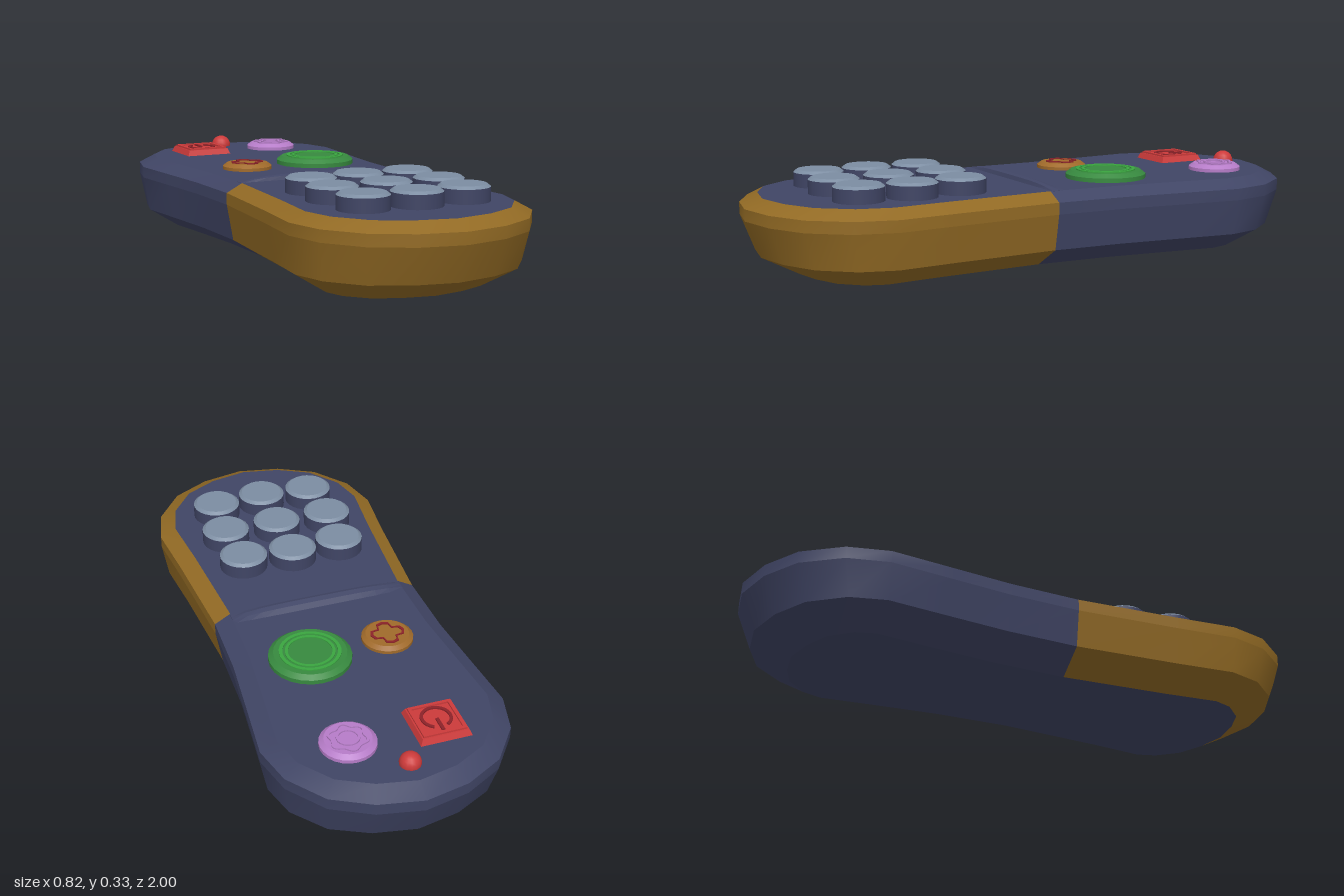
import * as THREE from 'three';

const mat = (name, color, side = THREE.FrontSide) => {
  const m = new THREE.MeshStandardMaterial({ color, side });
  m.name = name;
  return m;
};
const navy = mat('navy', 0x404565);
const gold = mat('gold', 0x926a24);
const grey = mat('blueGrey', 0x7c8da2);
const red = mat('red', 0xcc3a3a);
const darkRed = mat('darkRed', 0x8c2228);
const green = mat('green', 0x37893f);
const brightGreen = mat('brightGreen', 0x3aa540);
const purple = mat('purple', 0xb67cc8);
const orange = mat('orange', 0xa06a2a);

const TOP = 0.27;

// Half outline of the case, back to front, as [x, z]
const backHalf = [[0, -1], [0.15, -0.97], [0.28, -0.9], [0.375, -0.775], [0.41, -0.635], [0.39, -0.42], [0.37, -0.2]];
const half = [...backHalf, [0.364, 0.05], ...backHalf.slice(0, 6).reverse().map(([x, z]) => [x, -z])];
const outline = [...half, ...half.slice(1, -1).reverse().map(([x, z]) => [-x, z])];
const N = outline.length;
const SPLIT = 7; // index of the point where the two case colours meet

// Case outline moved inwards by dx, dz and raised to y
function ring(y, dx, dz) {
  return outline.map(([x, z], i) => {
    const a = outline[(i + N - 1) % N], b = outline[(i + 1) % N];
    const n = new THREE.Vector2(b[1] - a[1], a[0] - b[0]).normalize();
    return [x - n.x * dx, y, z - n.y * dz];
  });
}

function surface(points, index) {
  const g = new THREE.BufferGeometry();
  g.setAttribute('position', new THREE.Float32BufferAttribute(points.flat(), 3));
  g.setIndex(index);
  g.computeVertexNormals();
  return g;
}

// Wall between two rings, from outline point start to point end
function band(low, high, start, end) {
  const points = [], index = [];
  for (let i = start; i <= end; i++) {
    points.push(low[i % N], high[i % N]);
    if (i < end) {
      const a = (i - start) * 2;
      index.push(a + 2, a, a + 1, a + 2, a + 1, a + 3);
    }
  }
  return surface(points, index);
}

function cap(loop, y, up) {
  const index = [];
  for (let i = 0; i < N; i++) {
    const j = (i + 1) % N;
    index.push(N, up ? j : i, up ? i : j);
  }
  return surface([...loop, [0, y, 0]], index);
}

function add(parent, name, geometry, material, x = 0, y = 0, z = 0) {
  const m = new THREE.Mesh(geometry, material);
  m.name = name;
  m.position.set(x, y, z);
  parent.add(m);
  return m;
}

// Shape lying flat, with its up direction towards the back
const plate = (shape, depth) =>
  new THREE.ExtrudeGeometry(shape, { depth, bevelEnabled: false, curveSegments: 24 }).rotateX(-Math.PI / 2);

// Closed outline whose radius depends on the angle
function radial(radius, steps, Type = THREE.Shape) {
  const pts = [];
  for (let i = 0; i < steps; i++) {
    const a = (i / steps) * Math.PI * 2;
    pts.push(new THREE.Vector2(Math.cos(a), Math.sin(a)).multiplyScalar(radius(a, i)));
  }
  return new Type(pts);
}

function ringPlate(outer, inner, steps, depth) {
  const s = radial(outer, steps);
  s.holes.push(radial(inner, steps, THREE.Path));
  return plate(s, depth);
}

// Round button: straight side, then a bevelled top
function roundButton(parent, name, x, z, r, height, bevel, sideMat, topMat) {
  const g = new THREE.Group();
  g.name = name;
  g.position.set(x, TOP, z);
  const h = height - bevel;
  add(g, name + 'Side', new THREE.CylinderGeometry(r, r, h, 24, 1, true), sideMat, 0, h / 2);
  add(g, name + 'Bevel', new THREE.CylinderGeometry(r - bevel * 1.3, r, bevel, 24, 1, true), topMat, 0, h + bevel / 2);
  add(g, name + 'Face', new THREE.CircleGeometry(r - bevel * 1.3, 24).rotateX(-Math.PI / 2), topMat, 0, height);
  parent.add(g);
  return g;
}

export function createModel() {
  const model = new THREE.Group();
  model.name = 'remoteControl';

  // Case: stacked bands, navy at the back and gold at the front
  const rings = [ring(0.01, 0.13, 0.18), ring(0.077, 0.022, 0.05), ring(0.2, 0, 0), ring(0.24, 0, 0), ring(TOP, 0.056, 0.06)];
  for (let i = 0; i < rings.length - 1; i++) {
    add(model, 'frontCase', band(rings[i], rings[i + 1], SPLIT, N - SPLIT), gold);
    add(model, 'backCase', band(rings[i], rings[i + 1], N - SPLIT, N + SPLIT), navy);
  }
  add(model, 'topPanel', cap(rings[4], TOP, true), navy);
  add(model, 'bottomPanel', cap(rings[0], 0, false), navy);

  // Ridge across the waist, fading out at both ends
  const profile = [[-0.05, -0.002], [-0.044, 0.014], [-0.03, 0.018], [-0.012, 0.012], [0.01, -0.002]];
  const ridge = new THREE.ExtrudeGeometry(new THREE.Shape(profile.map((p) => new THREE.Vector2(...p))),
    { depth: 0.62, steps: 12, bevelEnabled: false });
  ridge.rotateY(Math.PI / 2).translate(-0.31, 0, 0);
  const rp = ridge.attributes.position;
  for (let i = 0; i < rp.count; i++) {
    const k = 1 - (rp.getX(i) / 0.31) ** 4;
    if (rp.getY(i) > 0) rp.setY(i, rp.getY(i) * k);
  }
  ridge.computeVertexNormals();
  add(model, 'ridge', ridge, navy, 0, TOP, 0);

  // Keypad
  const rows = [[0.32, 0.18, -0.012], [0.5, 0.195, 0], [0.68, 0.18, 0.015]];
  for (const [z, dx, shift] of rows)
    for (const s of [-1, 0, 1])
      roundButton(model, 'key', s * dx, z + (s ? 0 : shift), 0.085, 0.056, 0.009, navy, grey);

  // Power button: bevelled square with a frame and a broken ring
  const power = new THREE.Group();
  power.name = 'powerButton';
  power.position.set(-0.145, TOP, -0.715);
  const squareBase = new THREE.CylinderGeometry(0.11, 0.122, 0.02, 4).rotateY(Math.PI / 4).toNonIndexed();
  squareBase.computeVertexNormals();
  add(power, 'powerBase', squareBase, red, 0, 0.01);
  const square = (r, Type) => new Type([[r, r], [-r, r], [-r, -r], [r, -r]].map((p) => new THREE.Vector2(...p)));
  const frame = square(0.073, THREE.Shape);
  frame.holes.push(square(0.062, THREE.Path));
  add(power, 'powerFrame', plate(frame, 0.006), red, 0, 0.02);
  const arc = new THREE.Shape();
  const gap = 0.5;
  arc.absarc(0, 0, 0.052, Math.PI / 2 + gap, Math.PI * 2.5 - gap, false);
  arc.absarc(0, 0, 0.042, Math.PI * 2.5 - gap, Math.PI / 2 + gap, true);
  add(power, 'powerArc', plate(arc, 0.005), darkRed, 0, 0.02, 0.006);
  add(power, 'powerBar', new THREE.BoxGeometry(0.011, 0.005, 0.055), darkRed, 0, 0.0225, -0.028);
  model.add(power);

  // Settings button with a six-lobed ring
  const settings = roundButton(model, 'settingsButton', 0.15, -0.715, 0.092, 0.024, 0.012, purple, purple);
  const lobes = (r) => (a) => r + 0.006 * Math.cos(6 * a + Math.PI);
  add(settings, 'settingsLobes', ringPlate(lobes(0.062), lobes(0.053), 48, 0.005), purple, 0, 0.024);
  add(settings, 'settingsRing', ringPlate(() => 0.038, () => 0.03, 24, 0.005), purple, 0, 0.024);

  // Large round button with raised bright rings
  const big = roundButton(model, 'selectButton', 0.125, -0.27, 0.14, 0.028, 0.013, green, green);
  add(big, 'selectOuterRing', ringPlate(() => 0.104, () => 0.092, 32, 0.006), brightGreen, 0, 0.026);
  add(big, 'selectInnerRing', ringPlate(() => 0.084, () => 0.074, 32, 0.006), brightGreen, 0, 0.026);

  // Small orange button with a notched emblem
  const small = roundButton(model, 'notchedButton', -0.155, -0.25, 0.088, 0.022, 0.011, orange, orange);
  const notch = (scale) => (a, i) => scale * (i % 4 === 2 ? 0.036 : i % 2 ? 0.056 : 0.06);
  add(small, 'notchedEmblem', ringPlate(notch(1), notch(0.84), 16, 0.004), darkRed, 0, 0.022);

  // Signal lamp
  add(model, 'signalLamp', new THREE.SphereGeometry(0.036, 14, 10), red, 0, TOP + 0.004, -0.86);

  return model;
}
